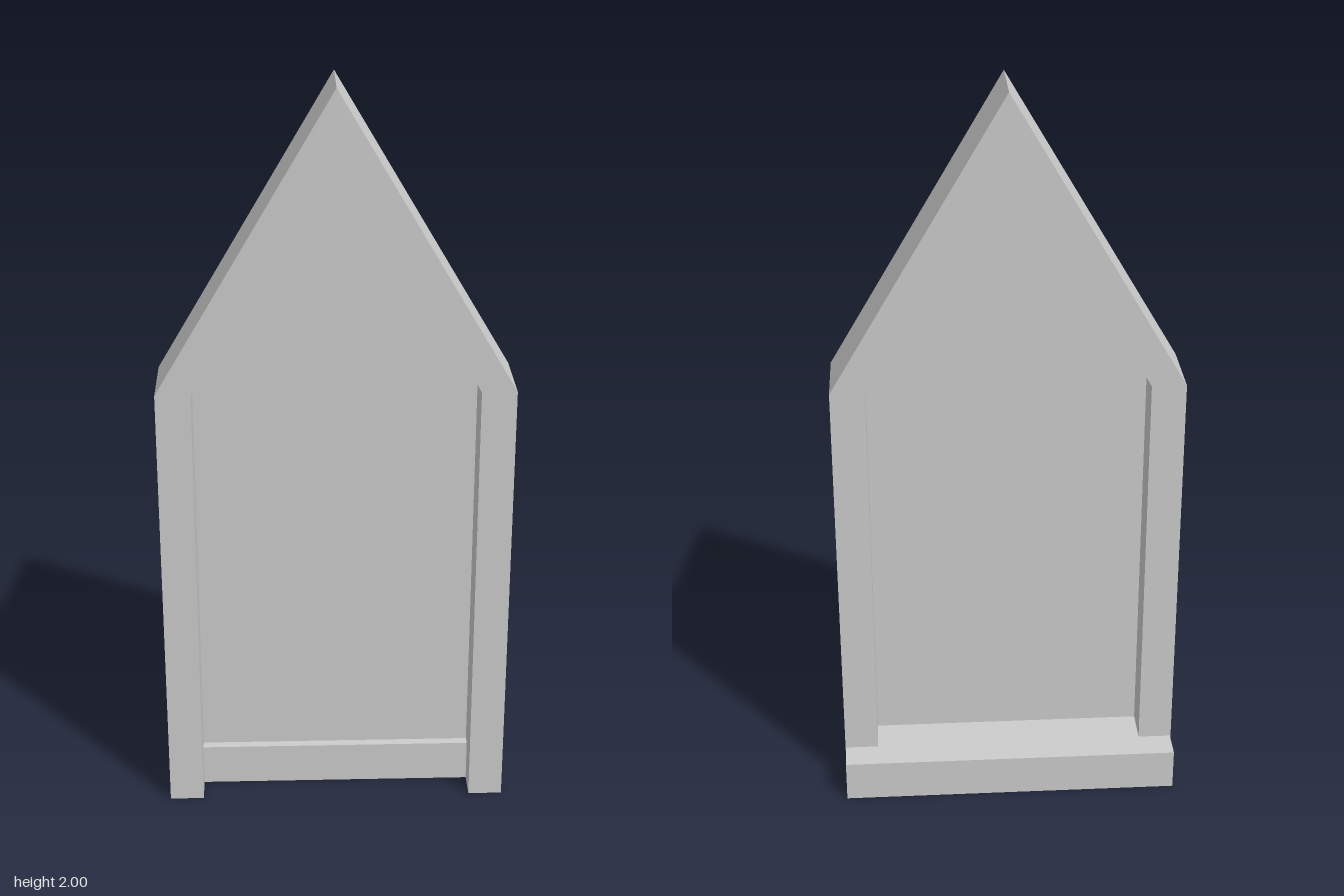
import * as THREE from 'three';

const FRONT = 0.145, BACK = -0.062, SILL_BACK = -0.145, SILL_FRONT = 0.065;
const OUT = 0.464, IN = 0.372, SHOULDER = 1.215, SILL_TOP = 0.115;

const shapeOf = (points) => new THREE.Shape(points.map(([x, y]) => new THREE.Vector2(x, y)));
const extrude = (points, depth) =>
  new THREE.ExtrudeGeometry(shapeOf(points), { depth, bevelEnabled: false });

export function createModel() {
  const group = new THREE.Group();
  group.name = 'pointedWindow';
  const material = new THREE.MeshStandardMaterial({ color: 0xcccccc, flatShading: true });
  const add = (name, geometry, mat = material) => {
    const mesh = new THREE.Mesh(geometry, mat);
    mesh.name = name;
    group.add(mesh);
  };

  // Gabled frame, open at the bottom
  const frame = extrude([
    [-OUT, 0], [-IN, 0], [-IN, SHOULDER], [0, 1.86], [IN, SHOULDER], [IN, 0],
    [OUT, 0], [OUT, SHOULDER], [0, 2], [-OUT, SHOULDER],
  ], FRONT - BACK);
  frame.translate(0, 0, BACK);
  add('frame', frame);

  // T-shaped sill: fills the opening and widens behind the frame
  const sill = extrude([
    [-IN, -SILL_FRONT], [IN, -SILL_FRONT], [IN, -BACK], [OUT - 0.002, -BACK],
    [OUT - 0.002, -SILL_BACK], [-OUT + 0.002, -SILL_BACK], [-OUT + 0.002, -BACK], [-IN, -BACK],
  ], SILL_TOP);
  sill.rotateX(-Math.PI / 2);
  add('sill', sill);

  // Thin pane halfway through the frame
  const pane = new THREE.ShapeGeometry(shapeOf([
    [-IN, SILL_TOP], [IN, SILL_TOP], [IN, SHOULDER], [0, 1.86], [-IN, SHOULDER],
  ]));
  pane.translate(0, 0, 0.04);
  const paneMaterial = material.clone();
  paneMaterial.side = THREE.DoubleSide;
  add('pane', pane, paneMaterial);

  return group;
}
